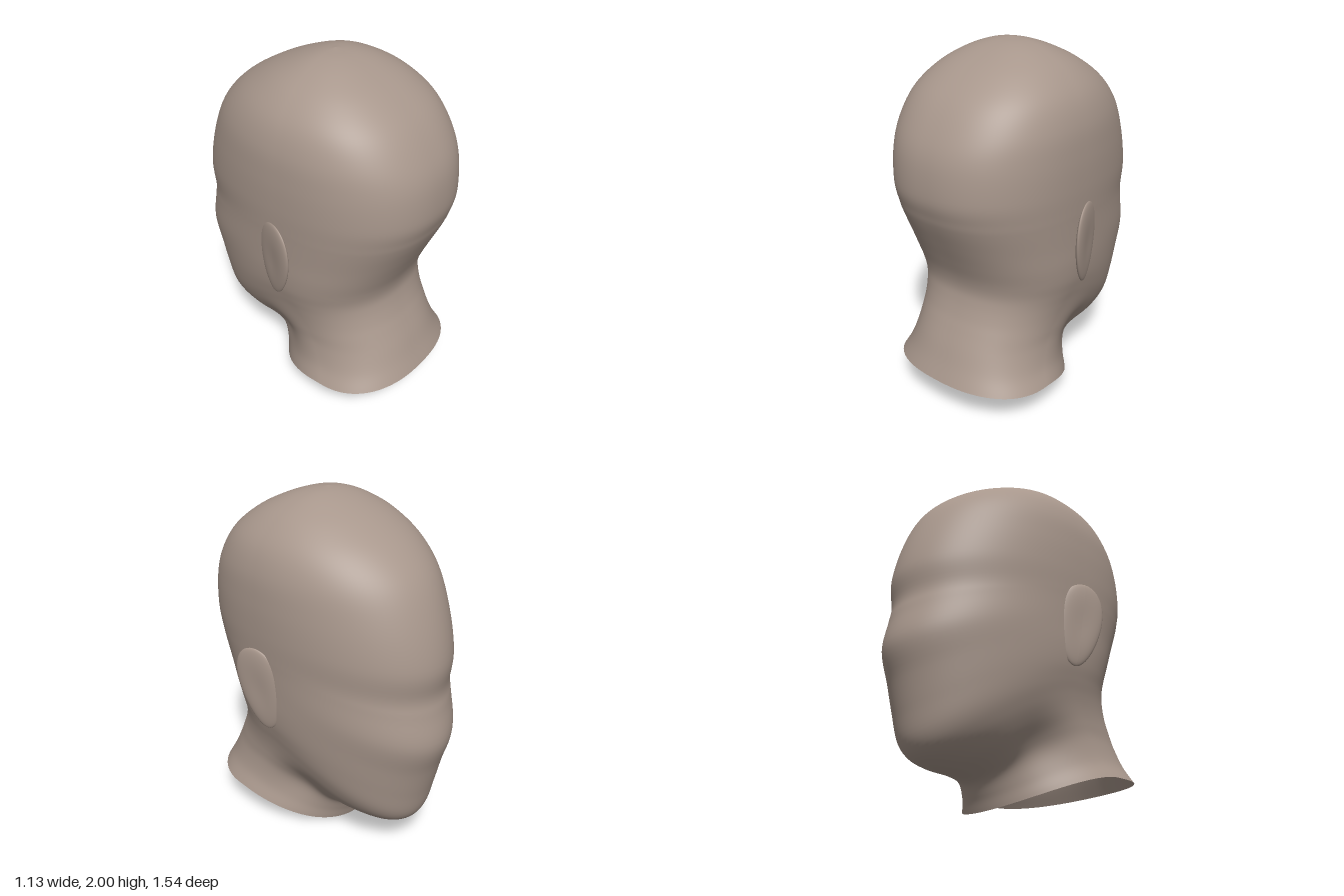
import * as THREE from 'three';

const skin = new THREE.MeshStandardMaterial({ color: 0xa8978c, roughness: 0.8, side: THREE.DoubleSide });

// Slanted rings from the neck opening to the crown:
// front z, y | side z, y, half width | back z, y
const RINGS = [
  [-0.14, 0, 0.37, 0.18, 0.48, 0.75, 0.22],
  [-0.165, 0.07, 0.33, 0.27, 0.435, 0.71, 0.31],
  [-0.21, 0.14, 0.27, 0.38, 0.412, 0.67, 0.41],
  [-0.3, 0.16, 0.22, 0.46, 0.412, 0.63, 0.5],
  [-0.45, 0.165, 0.17, 0.53, 0.42, 0.6, 0.57],
  [-0.57, 0.195, 0.13, 0.6, 0.435, 0.575, 0.65],
  [-0.64, 0.27, 0.1, 0.67, 0.455, 0.565, 0.72],
  [-0.68, 0.42, 0.09, 0.75, 0.475, 0.58, 0.8],
  [-0.72, 0.58, 0.09, 0.85, 0.488, 0.62, 0.9],
  [-0.77, 0.76, 0.09, 0.97, 0.495, 0.67, 1.01],
  [-0.738, 0.94, 0.1, 1.1, 0.503, 0.72, 1.12],
  [-0.72, 1.04, 0.1, 1.17, 0.508, 0.745, 1.19],
  [-0.733, 1.2, 0.1, 1.3, 0.515, 0.77, 1.3],
  [-0.68, 1.42, 0.1, 1.46, 0.515, 0.755, 1.48],
  [-0.59, 1.62, 0.1, 1.62, 0.5, 0.7, 1.62],
  [-0.46, 1.76, 0.1, 1.76, 0.45, 0.6, 1.76],
  [-0.29, 1.87, 0.09, 1.87, 0.355, 0.46, 1.87],
  [-0.13, 1.945, 0.09, 1.945, 0.235, 0.31, 1.945],
  [-0.01, 1.985, 0.08, 1.985, 0.12, 0.19, 1.985],
  [0.08, 2, 0.08, 2, 0, 0.08, 2],
];

const smoothCurve = (toPoint) =>
  new THREE.CatmullRomCurve3(RINGS.map(toPoint), false, 'catmullrom', 0.5);

function headGeometry(rows = 110, cols = 120) {
  const front = smoothCurve((r) => new THREE.Vector3(0, r[1], r[0]));
  const side = smoothCurve((r) => new THREE.Vector3(r[4], r[3], r[2]));
  const back = smoothCurve((r) => new THREE.Vector3(0, r[6], r[5]));
  const pos = [];
  const index = [];
  for (let i = 0; i <= rows; i++) {
    const t = i / rows;
    const f = front.getPoint(t), s = side.getPoint(t), b = back.getPoint(t);
    for (let j = 0; j < cols; j++) {
      const a = (j / cols) * Math.PI * 2;
      const isFront = Math.cos(a) > 0;
      const end = isFront ? f : b;
      const p = isFront ? 1 : 0.84; // the back is a little squarer
      const c = Math.abs(Math.cos(a)) ** p;
      const y = s.y + (end.y - s.y) * c ** 1.5;
      const z = s.z + (end.z - s.z) * c;
      // hollow under the jaw
      const hollow = Math.exp(-(((y - 0.3) / 0.13) ** 2) - ((z + 0.05) / 0.15) ** 2);
      const x = Math.sign(Math.sin(a)) * Math.abs(Math.sin(a)) ** p * s.x * (1 - 0.1 * hollow);
      pos.push(x, y, z);
      if (i < rows) {
        const k = i * cols + j, n = i * cols + ((j + 1) % cols);
        index.push(k, k + cols, n);
        if (i < rows - 1) index.push(n, k + cols, n + cols);
      }
    }
  }
  const g = new THREE.BufferGeometry();
  g.setAttribute('position', new THREE.Float32BufferAttribute(pos, 3));
  g.setIndex(index);
  g.computeVertexNormals();
  return g;
}

// Thin pad that flares outward to the rear and narrows to the lobe
function earGeometry(mirror) {
  const g = new THREE.SphereGeometry(1, 40, 28);
  const p = g.attributes.position;
  for (let i = 0; i < p.count; i++) {
    const u = p.getX(i) * mirror, v = p.getY(i), w = p.getZ(i);
    const z = 0.085 + 0.025 * v + 0.13 * w * (1 + 0.22 * v);
    const y = 0.965 + 0.245 * v;
    const dent = u > 0 ? 0.012 * Math.exp(-3 * (v * v + w * w)) : 0;
    const x = 0.515 + 0.3 * (z - 0.1) + 0.06 * (y - 1) + 0.03 * u - dent;
    p.setXYZ(i, x * mirror, y, z);
  }
  g.computeVertexNormals();
  return g;
}

export function createModel() {
  const model = new THREE.Group();
  model.name = 'mannequinHead';
  const add = (name, geometry) => {
    const mesh = new THREE.Mesh(geometry, skin);
    mesh.name = name;
    model.add(mesh);
  };
  add('headAndNeck', headGeometry());
  // The face looks towards -z; ears mirror across x
  add('earPositiveX', earGeometry(1));
  add('earNegativeX', earGeometry(-1));
  return model;
}
